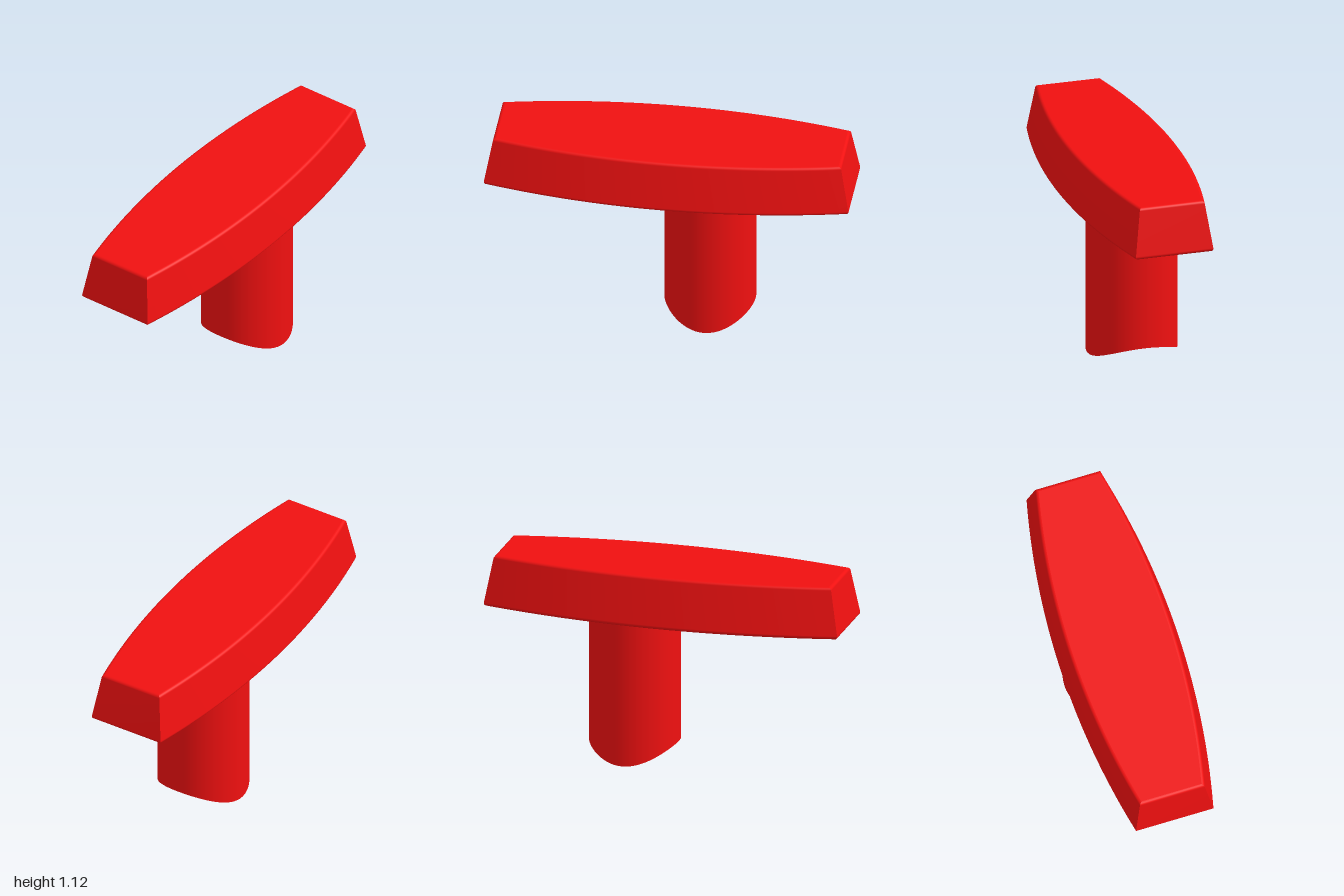
import * as THREE from 'three';

const BASE = 0.833, TOP = 1.115;          // underside and top of the head
const ARC = 4.405, ARC_Z = 0.335 - ARC;   // bowed long side: radius and centre
const DRAFT = 0.177, FILLET = 0.018, STEPS = 5;
const STEM_X = 0.21, STEM_R = 0.25, SADDLE_R = 0.392, SADDLE_H = 0.09;

// Half depth of the head at x, for an outline inset by d
const halfDepth = (x, d) => Math.sqrt((ARC - d) ** 2 - x * x) + ARC_Z;

// Edge profile of the head, bottom to top: [inset, height]
function headProfile() {
  const points = [];
  const rise = TOP - BASE - 2 * FILLET;
  const fillet = (inset, y, from, to) => {
    for (let i = 0; i <= STEPS; i++) {
      const t = from + (to - from) * i / STEPS;
      points.push([inset + FILLET * (1 - Math.cos(t)), y + FILLET * Math.sin(t)]);
    }
  };
  fillet(0, BASE + FILLET, -Math.PI / 2, DRAFT);
  fillet(rise * Math.tan(DRAFT), TOP - FILLET, DRAFT, Math.PI / 2);
  return points;
}

// Grid patch whose vertices follow place(u, row) -> [x, y, z]
function patch(columns, rows, place) {
  const geometry = new THREE.PlaneGeometry(1, 1, columns, rows);
  const position = geometry.attributes.position;
  for (let i = 0; i < position.count; i++) {
    const u = position.getX(i) + 0.5;
    const row = Math.round((position.getY(i) + 0.5) * rows);
    position.setXYZ(i, ...place(u, row));
  }
  geometry.computeVertexNormals();
  return geometry;
}

export function createModel() {
  const model = new THREE.Group();
  const material = new THREE.MeshStandardMaterial({ color: 0xf01010 });
  const add = (parent, name, geometry) => {
    const mesh = new THREE.Mesh(geometry, material);
    mesh.name = name;
    parent.add(mesh);
    return mesh;
  };

  // Head: tapered bar with bowed long sides and softened rims
  const head = new THREE.Group();
  head.name = 'head';
  model.add(head);
  const profile = headProfile();
  const rows = profile.length - 1;

  const longSide = patch(40, rows, (u, row) => {
    const [d, y] = profile[row];
    const x = (2 * u - 1) * (1 - d);
    return [x, y, halfDepth(x, d)];
  });
  const endSide = patch(1, rows, (u, row) => {
    const [d, y] = profile[row];
    return [1 - d, y, (1 - 2 * u) * halfDepth(1 - d, d)];
  });
  add(head, 'frontSide', longSide);
  add(head, 'backSide', longSide).rotation.y = Math.PI;
  add(head, 'leftEnd', endSide);
  add(head, 'rightEnd', endSide).rotation.y = Math.PI;

  // Flat caps; direction turns the faces up or down
  const cap = ([d, y], direction) => patch(40, 1, (u, row) => {
    const x = (2 * u - 1) * (1 - d);
    return [x, y, direction * (1 - 2 * row) * halfDepth(x, d)];
  });
  add(head, 'topFace', cap(profile[rows], 1));
  add(head, 'underside', cap(profile[0], -1));

  // Stem: round post with a saddle cut across its foot
  const stem = new THREE.Group();
  stem.name = 'stem';
  stem.position.x = STEM_X;
  model.add(stem);
  const saddle = z => Math.sqrt(Math.max(0, SADDLE_R ** 2 - z * z)) - SADDLE_R + SADDLE_H;

  const post = new THREE.CylinderGeometry(STEM_R, STEM_R, 1, 64, 1, true);
  const p = post.attributes.position;
  for (let i = 0; i < p.count; i++) {
    p.setY(i, p.getY(i) > 0 ? BASE + 0.005 : saddle(p.getZ(i)));
  }
  add(stem, 'post', post);

  const foot = new THREE.RingGeometry(0, STEM_R, 64, 10);
  foot.rotateX(Math.PI / 2);
  const f = foot.attributes.position;
  for (let i = 0; i < f.count; i++) f.setY(i, saddle(f.getZ(i)));
  foot.computeVertexNormals();
  add(stem, 'saddleFoot', foot);

  return model;
}
